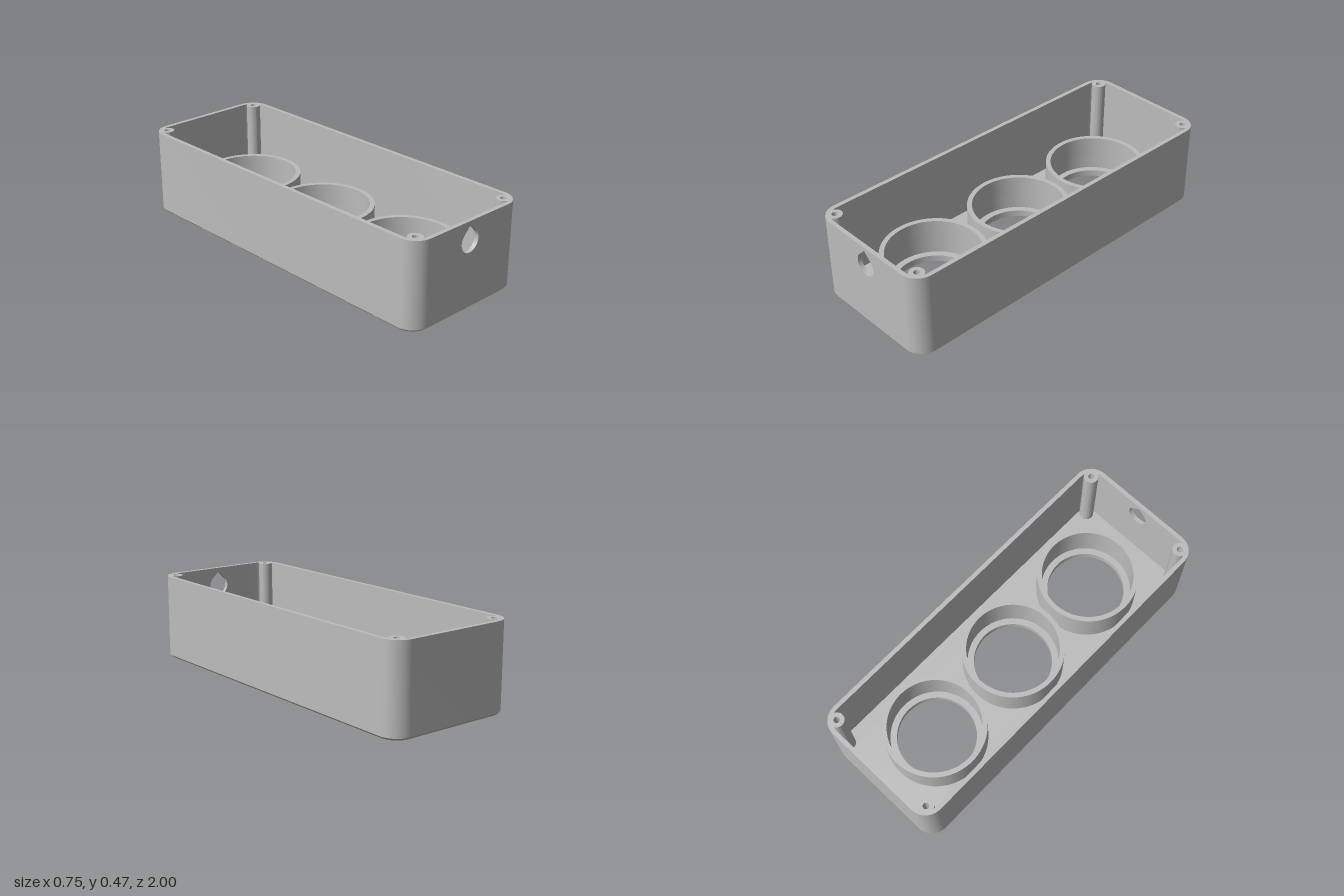
import * as THREE from 'three';
import { toCreasedNormals } from 'three/addons/utils/BufferGeometryUtils.js';

const HX = 0.375, HZ = 1, HEIGHT = 0.47, WALL = 0.023, RADIUS = 0.1;
const CHAMFER = 0.012, FLOOR = 0.037;
const POCKETS = [-0.587, 0, 0.587];

// Counter-clockwise rounded rectangle, inset from the outer outline, starting at the front
function outline(inset) {
  const r = RADIUS - inset, pts = [];
  const corners = [[1, -1], [1, 1], [-1, 1], [-1, -1]];
  corners.forEach(([sx, sy], k) => {
    for (let i = 0; i <= 16; i++) {
      const a = (k - 1 + i / 16) * Math.PI / 2;
      pts.push(new THREE.Vector2(
        sx * (HX - RADIUS) + r * Math.cos(a),
        sy * (HZ - RADIUS) + r * Math.sin(a)));
    }
  });
  return pts;
}

function circle(x, y, r, Kind = THREE.Path) {
  return new Kind().absarc(x, y, r, 0, Math.PI * 2, false);
}

export function createModel() {
  const group = new THREE.Group();
  const grey = new THREE.MeshStandardMaterial({ color: 0xbcbcbc });
  grey.name = 'grey plastic';

  function add(name, geometry) {
    const mesh = new THREE.Mesh(toCreasedNormals(geometry, 0.5), grey);
    mesh.name = name;
    group.add(mesh);
  }

  // Extrude a plan shape (x, -z) upward from y0 to y1
  function addSlab(name, shape, y0, y1) {
    const geo = new THREE.ExtrudeGeometry(shape, { depth: y1 - y0, bevelEnabled: false, curveSegments: 40 });
    add(name, geo.rotateX(-Math.PI / 2).translate(0, y0, 0));
  }

  // Two small screw holes beside a pocket
  const screwHoles = c => [-1, 1].map(s => circle(s * 0.217, c + 0.145, 0.01));

  // Floor with three large openings and the screw holes
  const floor = new THREE.Shape(outline(CHAMFER));
  for (const c of POCKETS) floor.holes.push(circle(0, c, 0.213), ...screwHoles(c));
  addSlab('floor', floor, 0, FLOOR);

  // Chamfer around the bottom edge
  const low = outline(CHAMFER), high = outline(0), strip = [];
  low.forEach((p, i) => {
    const j = (i + 1) % low.length;
    const a = [p.x, 0, -p.y], b = [low[j].x, 0, -low[j].y];
    const c = [high[j].x, CHAMFER, -high[j].y], d = [high[i].x, CHAMFER, -high[i].y];
    strip.push(...a, ...b, ...c, ...a, ...c, ...d);
  });
  const chamfer = new THREE.BufferGeometry();
  chamfer.setAttribute('position', new THREE.Float32BufferAttribute(strip, 3));
  add('bottomChamfer', chamfer);

  // Side and back walls, open in the middle of the front
  const gap = 0.2, inner = HZ - WALL;
  const walls = new THREE.Shape([
    new THREE.Vector2(gap, -HZ), ...outline(0), new THREE.Vector2(-gap, -HZ),
    new THREE.Vector2(-gap, -inner), ...outline(WALL).reverse(), new THREE.Vector2(gap, -inner),
  ]);
  addSlab('walls', walls, CHAMFER, HEIGHT);

  // Front wall panel with a teardrop cable opening
  const panel = new THREE.Shape([
    new THREE.Vector2(-gap, CHAMFER), new THREE.Vector2(gap, CHAMFER),
    new THREE.Vector2(gap, HEIGHT), new THREE.Vector2(-gap, HEIGHT),
  ]);
  const drop = new THREE.Path();
  drop.moveTo(0, 0.45);
  drop.absarc(0, 0.365, 0.06, Math.PI * 0.75, Math.PI * 2.25, false);
  drop.lineTo(0, 0.45);
  panel.holes.push(drop);
  add('frontPanel', new THREE.ExtrudeGeometry(panel, { depth: WALL, bevelEnabled: false, curveSegments: 40 })
    .translate(0, 0, inner));

  // Raised pocket rings; the lower part carries the blind screw holes
  for (const c of POCKETS) {
    [[FLOOR, 0.12, true], [0.12, 0.235, false]].forEach(([y0, y1, drilled]) => {
      const ring = circle(0, c, 0.274, THREE.Shape);
      ring.holes.push(circle(0, c, 0.248));
      if (drilled) ring.holes.push(...screwHoles(c));
      addSlab(drilled ? 'pocketRingBase' : 'pocketRing', ring, y0, y1);
    });
  }

  // Corner screw posts with blind holes in the top
  for (const sx of [-1, 1]) for (const sz of [-1, 1]) {
    const x = sx * 0.313, y = sz * 0.938;
    addSlab('cornerPost', circle(x, y, 0.039, THREE.Shape), FLOOR, 0.3);
    const top = circle(x, y, 0.039, THREE.Shape);
    top.holes.push(circle(x, y, 0.016));
    addSlab('cornerPostTop', top, 0.3, HEIGHT);
  }

  return group;
}
